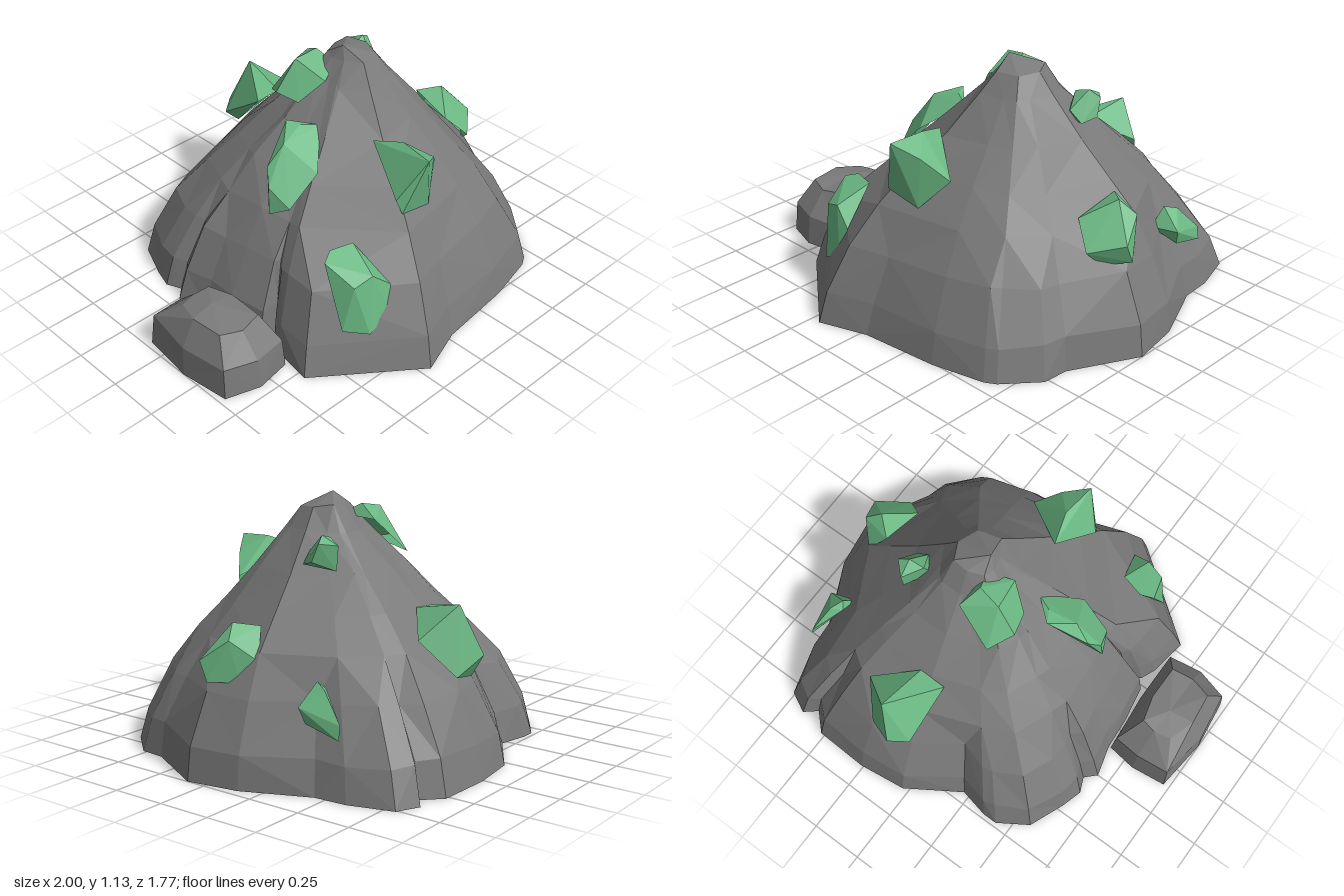
import * as THREE from 'three';
import { ConvexGeometry } from 'three/addons/geometries/ConvexGeometry.js';

const stone = new THREE.MeshStandardMaterial({ color: 0x7a7a7a, flatShading: true, side: THREE.DoubleSide });
stone.name = 'grey stone';
const crystalGreen = new THREE.MeshStandardMaterial({ color: 0x6ab883, flatShading: true, side: THREE.DoubleSide });
crystalGreen.name = 'green crystal';

// Repeatable noise in -1..1
const noise = (a, b) => {
  const n = Math.sin(a * 127.1 + b * 311.7) * 43758.5453;
  return (n - Math.floor(n)) * 2 - 1;
};

// Open-bottomed faceted shell: an outline shrunk towards an apex, ring by ring.
// outline: [x, z, bulge]; rings: [scale, height, spoke step]
function rockShell(outline, rings, apex, centre, rough) {
  const n = outline.length;
  const vertex = (i, j) => {
    if (i === rings.length) return apex;
    const [s, y, step] = rings[i];
    j %= n;
    j -= j % step;
    const [x, z, bulge = 1] = outline[j];
    const flank = 1 + (bulge - 1) * 4 * s * (1 - s);
    const r = s * flank * (1 + (i ? rough * noise(i, j) : 0));
    const h = i ? y + rough * 0.7 * noise(j + 5, i + 9) : y;
    return new THREE.Vector3(centre.x + (x - centre.x) * r, h, centre.z + (z - centre.z) * r);
  };
  const pos = [];
  const tri = (a, b, c) => {
    if (a.distanceTo(b) < 1e-5 || b.distanceTo(c) < 1e-5 || c.distanceTo(a) < 1e-5) return;
    for (const v of [a, b, c]) pos.push(v.x, v.y, v.z);
  };
  for (let i = 0; i < rings.length; i++) {
    for (let j = 0; j < n; j++) {
      const a = vertex(i, j), b = vertex(i, j + 1), c = vertex(i + 1, j + 1), d = vertex(i + 1, j);
      if ((i + j) % 2) { tri(a, b, c); tri(a, c, d); }
      else { tri(a, b, d); tri(b, c, d); }
    }
  }
  const geo = new THREE.BufferGeometry();
  geo.setAttribute('position', new THREE.Float32BufferAttribute(pos, 3));
  geo.computeVertexNormals();
  return geo;
}

// Crystal chunk: convex hull, left open where it sits inside the rock
function crystalChunk(points) {
  const pts = points.map((p) => new THREE.Vector3(...p));
  const out = pts.reduce((s, p) => s.add(p), new THREE.Vector3()).divideScalar(pts.length);
  out.sub(new THREE.Vector3(0.17, 0.15, 0)).normalize();
  const src = new ConvexGeometry(pts).getAttribute('position');
  const pos = [];
  const t = new THREE.Triangle(), nrm = new THREE.Vector3();
  for (let i = 0; i < src.count; i += 3) {
    t.setFromAttributeAndIndices(src, i, i + 1, i + 2);
    if (t.getNormal(nrm).dot(out) < -0.75) continue;
    for (const v of [t.a, t.b, t.c]) pos.push(v.x, v.y, v.z);
  }
  const geo = new THREE.BufferGeometry();
  geo.setAttribute('position', new THREE.Float32BufferAttribute(pos, 3));
  geo.computeVertexNormals();
  return geo;
}

// Mound footprint, from the front point round by the left side; a bulge under 1 makes a gully
const moundOutline = [
  [-0.2, 0.88], [0.03, 0.8, 1.02], [0.4, 0.76], [0.65, 0.7, 0.97], [0.7, 0.67, 0.96], [0.83, 0.52, 0.98],
  [0.84, 0.4, 1.02], [1, 0.09, 1.05], [0.96, -0.15, 1.08], [0.83, -0.45, 0.96], [0.82, -0.6, 0.95],
  [0.76, -0.8, 0.89], [0.66, -0.85, 0.93], [0.6, -0.8, 0.97], [0.52, -0.88, 0.98], [0.26, -0.89, 1.03],
  [0.03, -0.86, 1.02], [-0.22, -0.7, 0.97], [-0.36, -0.73, 1], [-0.43, -0.73, 1], [-0.57, -0.64, 1],
  [-0.64, -0.47, 1.01], [-0.67, -0.37, 1.01], [-0.64, -0.3, 1.02], [-0.69, -0.25, 1.03], [-0.65, -0.1, 1.04],
  [-0.64, 0.05, 1.06], [-0.61, 0.23, 1.06], [-0.52, 0.23, 1.22], [-0.58, 0.28, 1.12], [-0.61, 0.35, 1.08],
  [-0.64, 0.54, 1.04],
];
const moundRings = [
  [1, 0, 1], [0.96, 0.15, 1], [0.83, 0.36, 1], [0.69, 0.53, 2],
  [0.54, 0.67, 2], [0.37, 0.82, 2], [0.2, 0.98, 2], [0.12, 1.08, 4],
];

// Side boulder
const boulderOutline = [
  [-0.97, 0.4], [-0.81, 0.45], [-0.64, 0.42], [-0.64, 0.15], [-0.66, -0.1, 0.8], [-0.8, -0.12, 0.8],
  [-0.97, -0.1, 0.75], [-1, 0.16],
];
const boulderRings = [[1, 0, 1], [0.96, 0.15, 1], [0.62, 0.265, 1]];

const crystals = {
  frontRightCrystal: [[-0.46, 0.5, 0.48], [-0.4, 0.52, 0.45], [-0.29, 0.52, 0.48], [-0.24, 0.37, 0.66],
    [-0.27, 0.25, 0.69], [-0.38, 0.18, 0.68], [-0.47, 0.2, 0.6], [-0.33, 0.45, 0.64], [-0.42, 0.42, 0.62]],
  frontCrystal: [[0.02, 0.86, 0.62], [0.04, 0.87, 0.45], [0, 0.83, 0.31], [0.23, 0.7, 0.47],
    [0.11, 0.56, 0.55], [-0.07, 0.6, 0.56], [-0.08, 0.66, 0.53], [0.13, 0.8, 0.55]],
  rightCrystal: [[-0.43, 0.54, 0.1], [-0.42, 0.67, 0.09], [-0.39, 0.59, 0.19], [-0.38, 0.74, 0.04], [-0.3, 0.83, 0.06],
    [-0.2, 0.87, -0.03], [-0.17, 0.86, 0.03], [-0.09, 0.84, 0.07], [-0.24, 0.72, 0.21]],
  peakCrystal: [[-0.13, 0.92, -0.17], [-0.1, 0.9, -0.06], [-0.06, 0.86, -0.28], [-0.03, 1.06, -0.15],
    [0.08, 1.08, -0.13], [0.12, 1.02, -0.23], [0.11, 1.03, -0.04], [0, 1, 0.01]],
  smallCrystal: [[0.36, 0.97, -0.17], [0.42, 0.95, -0.26], [0.43, 0.99, -0.18], [0.48, 0.96, -0.2],
    [0.49, 0.88, -0.17], [0.46, 0.86, -0.1], [0.42, 0.84, -0.25], [0.4, 0.91, -0.09], [0.35, 0.86, -0.13]],
  leftCrystal: [[0.77, 0.46, 0.21], [0.67, 0.57, 0.15], [0.78, 0.65, 0.02], [0.69, 0.63, -0.06], [0.77, 0.5, -0.11],
    [0.85, 0.59, -0.02], [0.9, 0.5, 0.1], [0.9, 0.41, 0.06], [0.8, 0.39, 0.14], [0.82, 0.41, -0.05]],
  leftBackCrystal: [[0.7, 0.36, -0.32], [0.72, 0.45, -0.38], [0.75, 0.43, -0.44], [0.79, 0.31, -0.55],
    [0.8, 0.25, -0.55], [0.82, 0.36, -0.36], [0.8, 0.29, -0.38], [0.7, 0.42, -0.41]],
  backCrystal: [[0.03, 0.66, -0.48], [0.16, 0.67, -0.48], [0.19, 0.72, -0.72], [0.12, 0.5, -0.8],
    [0.04, 0.48, -0.74], [0.35, 0.58, -0.62], [0.25, 0.42, -0.75], [0.12, 0.4, -0.74]],
};

export function createModel() {
  const group = new THREE.Group();
  group.name = 'crystalRock';
  const add = (name, geo, mat) => {
    const mesh = new THREE.Mesh(geo, mat);
    mesh.name = name;
    group.add(mesh);
  };
  add('mound', rockShell(moundOutline, moundRings, new THREE.Vector3(0.12, 1.13, 0), new THREE.Vector3(0.19, 0, 0), 0.015), stone);
  add('boulder', rockShell(boulderOutline, boulderRings, new THREE.Vector3(-0.81, 0.28, 0.14), new THREE.Vector3(-0.81, 0, 0.16), 0.02), stone);
  for (const [name, points] of Object.entries(crystals)) add(name, crystalChunk(points), crystalGreen);
  return group;
}
